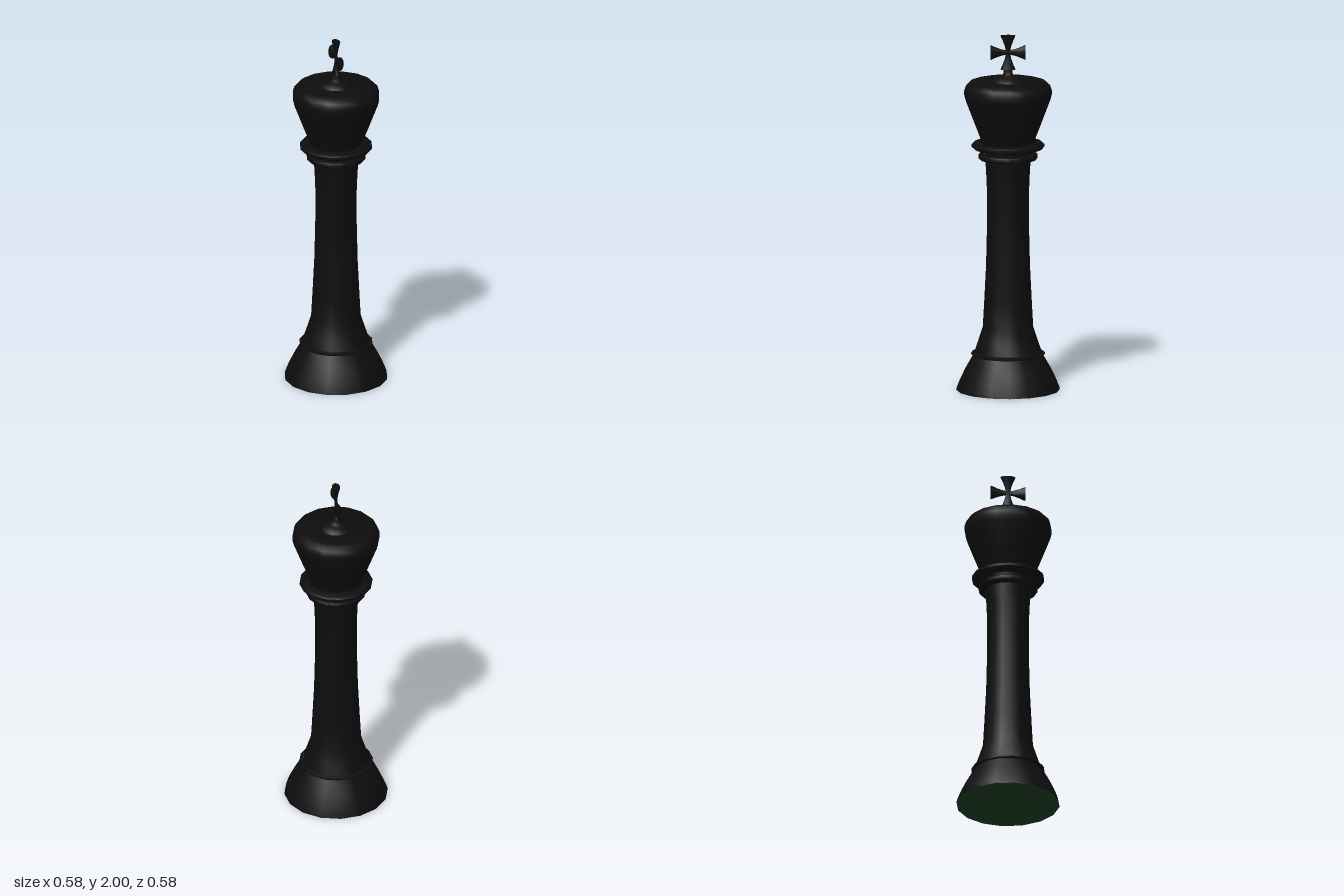
import * as THREE from 'three';
import { toCreasedNormals } from 'three/addons/utils/BufferGeometryUtils.js';

const SIDES = 16;

export function createModel() {
  const model = new THREE.Group();
  model.name = 'chessKing';

  const black = new THREE.MeshStandardMaterial({ color: 0x0d0d0d });
  black.name = 'black';
  const green = new THREE.MeshStandardMaterial({ color: 0x1c3c20 });
  green.name = 'feltGreen';

  const add = (name, geometry, material = black, parent = model) => {
    const mesh = new THREE.Mesh(geometry, material);
    mesh.name = name;
    parent.add(mesh);
    return mesh;
  };

  // Turned part from [radius, height] pairs, listed upwards
  const turned = (points, sides = SIDES) => toCreasedNormals(
    new THREE.LatheGeometry(points.map(([r, y]) => new THREE.Vector2(r, y)), sides), 0.8);

  // Felt underside
  add('felt', new THREE.CircleGeometry(0.288, SIDES).rotateX(Math.PI / 2), green);

  // Flared foot with a thin ridge
  add('base', turned([
    [0.288, 0], [0.282, 0.02], [0.264, 0.065], [0.235, 0.125], [0.195, 0.195],
    [0.205, 0.2], [0.205, 0.208], [0.187, 0.215],
  ]));

  // Slender column
  add('shaft', turned([
    [0.187, 0.212], [0.166, 0.275], [0.14, 0.355], [0.132, 0.5], [0.122, 0.7],
    [0.116, 0.95], [0.116, 1.1], [0.12, 1.2], [0.126, 1.305],
  ]));

  // Two collars and the neck between them
  add('lowerCollar', turned([
    [0.126, 1.302], [0.158, 1.302], [0.165, 1.309], [0.165, 1.328], [0.158, 1.335], [0.132, 1.335],
  ]));
  add('neck', turned([[0.13, 1.33], [0.134, 1.37]]));
  add('upperCollar', turned([
    [0.134, 1.363], [0.192, 1.363], [0.202, 1.372], [0.202, 1.386], [0.192, 1.395], [0.14, 1.395],
  ]));

  // Widening crown with rounded rim
  add('crown', turned([
    [0.142, 1.392], [0.188, 1.51], [0.236, 1.637], [0.243, 1.665], [0.243, 1.69],
    [0.234, 1.718], [0.215, 1.736], [0.19, 1.743], [0, 1.743],
  ]));
  add('crownDome', turned([
    [0.098, 1.742], [0.088, 1.755], [0.062, 1.768], [0.032, 1.776], [0.026, 1.785],
    [0.026, 1.81], [0, 1.81],
  ]));

  // Finial cross: two flared bars, flattened along x
  const cross = new THREE.Group();
  cross.name = 'cross';
  cross.position.y = 1.904;
  model.add(cross);
  const half = [[0, 0.096], [0.042, 0.096], [0.029, 0.067], [0.018, 0.036], [0.013, 0.012]];
  const barPoints = [
    ...half.map(([r, y]) => [r, -y]),
    ...half.slice().reverse(),
  ];
  const bar = turned(barPoints, SIDES).scale(0.54, 1, 1);
  add('crossUpright', bar, black, cross);
  add('crossArms', bar, black, cross).rotation.x = Math.PI / 2;

  return model;
}
